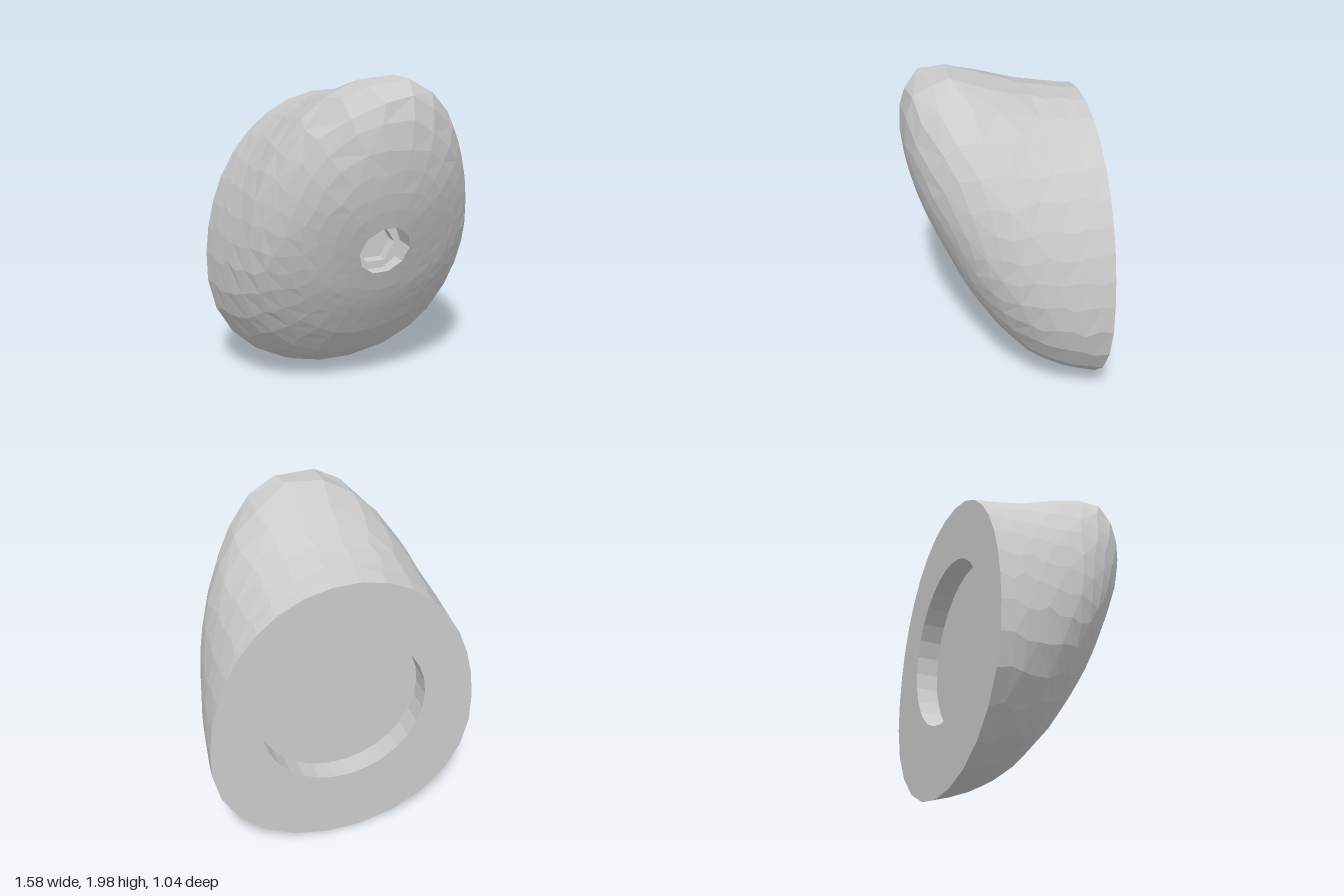
import * as THREE from 'three';

const SEGS = 30, BACK = -0.52, HOLE_Y = 1;
const HOLE_R = 0.158, LEDGE_Z = 0.21, HEX_R = 0.12, HEX_Z = 0.14;

// Slices of the body: z, lowest y, highest y, half width
const SLICES = [
  [-0.52, 0, 1.77, 0.793], [-0.36, 0.05, 1.797, 0.78], [-0.2, 0.14, 1.835, 0.752],
  [-0.12, 0.205, 1.862, 0.732], [0.03, 0.385, 1.917, 0.69], [0.15, 0.575, 1.962, 0.625],
  [0.22, 0.7, 1.985, 0.575], [0.28, 0.84, 2.002, 0.525], [0.35, 1.0, 2.005, 0.455],
  [0.42, 1.17, 1.98, 0.365], [0.47, 1.33, 1.93, 0.265], [0.5, 1.48, 1.85, 0.175],
  [0.523, 1.65, 1.74, 0.05],
];

let seed = 7;
const jitter = (amount) => {
  seed = (seed * 16807) % 2147483647;
  return (seed / 2147483647 - 0.5) * 2 * amount;
};

// Egg-shaped slices, widest below the middle
function inside(p) {
  const k = SLICES.findIndex((s) => s[0] > p.z);
  if (k < 1) return false;
  const a = SLICES[k - 1], b = SLICES[k], t = (p.z - a[0]) / (b[0] - a[0]);
  const [low, high, width] = [1, 2, 3].map((n) => a[n] + (b[n] - a[n]) * t);
  const mid = low + (high - low) * 0.42;
  const h = p.y > mid ? high - mid : mid - low;
  return (Math.abs(p.x) / width) ** 2.1 + (Math.abs(p.y - mid) / h) ** 2.1 < 1;
}

// Walks from an inner point along a direction to the skin of the body
function hitSkin(from, dir) {
  let lo = 0, hi = 2.5;
  for (let n = 0; n < 36; n++) {
    const m = (lo + hi) / 2;
    if (inside(from.clone().addScaledVector(dir, m))) lo = m;
    else hi = m;
  }
  return from.clone().addScaledVector(dir, lo);
}

function circle(radius, y, z, n = SEGS) {
  return Array.from({ length: n }, (_, j) => {
    const a = (j / n) * Math.PI * 2;
    return new THREE.Vector3(radius * Math.cos(a), y + radius * Math.sin(a), z);
  });
}

// Skins a series of rings, alternating the diagonals for a faceted look
function loft(rings) {
  const pos = [], n = rings[0].length;
  const tri = (...pts) => pts.forEach((p) => pos.push(p.x, p.y, p.z));
  for (let i = 0; i + 1 < rings.length; i++) {
    for (let j = 0; j < n; j++) {
      const k = (j + 1) % n;
      const a = rings[i][j], b = rings[i + 1][j], c = rings[i + 1][k], d = rings[i][k];
      if ((i + j) % 2) { tri(a, b, c); tri(a, c, d); }
      else { tri(a, b, d); tri(b, c, d); }
    }
  }
  const geo = new THREE.BufferGeometry();
  geo.setAttribute('position', new THREE.Float32BufferAttribute(pos, 3));
  geo.computeVertexNormals();
  return geo;
}

export function createModel() {
  const group = new THREE.Group();
  const material = new THREE.MeshStandardMaterial({ color: 0xcccccc, flatShading: true });
  const add = (name, geometry) => {
    const mesh = new THREE.Mesh(geometry, material);
    mesh.name = name;
    group.add(mesh);
    return mesh;
  };

  // Ten-sided bolt hole, its rim lying on the sloping front
  const corners = circle(HOLE_R, HOLE_Y, LEDGE_Z, 10), perSide = SEGS / 10;
  const ledge = Array.from({ length: SEGS }, (_, j) => {
    const side = Math.floor(j / perSide);
    return corners[side].clone().lerp(corners[(side + 1) % 10], (j % perSide) / perSide);
  });
  const rim = ledge.map((p) => hitSkin(p.clone().setZ(0), new THREE.Vector3(0, 0, 1)));

  // Faceted body, cast outwards ring by ring from the middle of the back
  const centre = new THREE.Vector3(0, HOLE_Y, BACK + 1e-6);
  const rings = [rim], COUNT = 15, START = 0.18;
  for (let i = 1; i <= COUNT; i++) {
    const wobble = i < COUNT && i > 1 ? 1 : 0;
    rings.push(Array.from({ length: SEGS }, (_, j) => {
      const phi = (j / SEGS) * Math.PI * 2 + jitter(0.03) * wobble;
      const theta = START + (Math.PI / 2 - START) * (i / COUNT) + jitter(0.015) * wobble;
      const s = i === COUNT ? 1 : Math.sin(theta), c = i === COUNT ? 0 : Math.cos(theta);
      return hitSkin(centre, new THREE.Vector3(s * Math.cos(phi), s * Math.sin(phi), c));
    }));
  }
  add('body', loft(rings));

  // Bolt hole wall, ledge and hexagonal socket
  add('boltHoleWall', loft([ledge, rim]));
  const hexTop = circle(HEX_R, HOLE_Y, LEDGE_Z, 6), hexDeep = circle(HEX_R, HOLE_Y, HEX_Z, 6);
  const ledgeShape = new THREE.Shape(corners.map((p) => new THREE.Vector2(p.x, p.y)));
  ledgeShape.holes.push(new THREE.Path(hexTop.map((p) => new THREE.Vector2(p.x, p.y))));
  add('boltHoleLedge', new THREE.ShapeGeometry(ledgeShape)).position.z = LEDGE_Z;
  add('hexSocketWall', loft([hexDeep, hexTop]));
  add('hexSocketFloor', new THREE.CircleGeometry(HEX_R, 6)).position.set(0, HOLE_Y, HEX_Z);

  // Flat back with a shallow round recess
  const opening = circle(0.49, 0.92, BACK), floor = circle(0.49, 0.92, BACK + 0.13);
  add('backFace', loft([rings[COUNT], opening]));
  add('recessWall', loft([opening, floor]));
  const recessFloor = add('recessFloor', new THREE.CircleGeometry(0.49, SEGS));
  recessFloor.rotation.y = Math.PI;
  recessFloor.position.set(0, 0.92, BACK + 0.13);

  return group;
}
